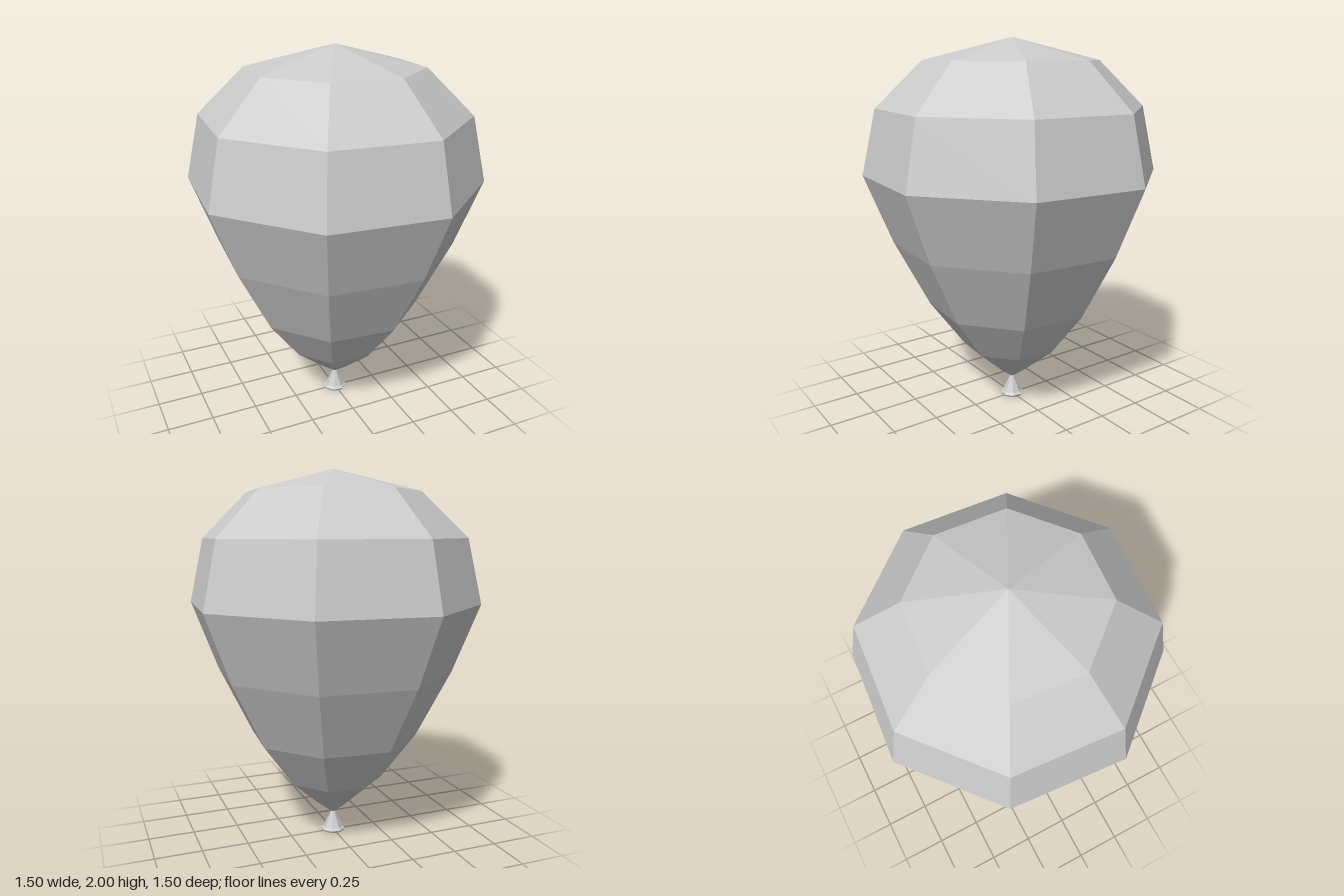
import * as THREE from 'three';

const SIDES = 8;
const PHASE = 0.312; // twist of the octagon about the vertical axis

// Faceted solid of revolution, profile listed as [radius, height] from bottom to top
function facetedLathe(name, profile) {
  const points = profile.map(([r, y]) => new THREE.Vector2(r, y));
  const material = new THREE.MeshStandardMaterial({
    color: 0xcccccc, flatShading: true, side: THREE.DoubleSide,
  });
  const mesh = new THREE.Mesh(new THREE.LatheGeometry(points, SIDES, PHASE), material);
  mesh.name = name;
  return mesh;
}

export function createModel() {
  const model = new THREE.Group();
  model.name = 'balloon';

  // Inflated body: pointed at the neck, widest above the middle, shallow cap
  model.add(facetedLathe('balloonBody', [
    [0, 0.105], [0.092, 0.175], [0.272, 0.33], [0.457, 0.575], [0.643, 0.935],
    [0.787, 1.3], [0.709, 1.645], [0.462, 1.885], [0, 2],
  ]));

  // Flared neck with a rolled lip, hollow from below
  model.add(facetedLathe('neck', [
    [0, 0.09], [0.042, 0.02], [0.048, 0], [0.06, 0], [0.066, 0.012],
    [0.054, 0.022], [0.01, 0.115],
  ]));

  return model;
}
